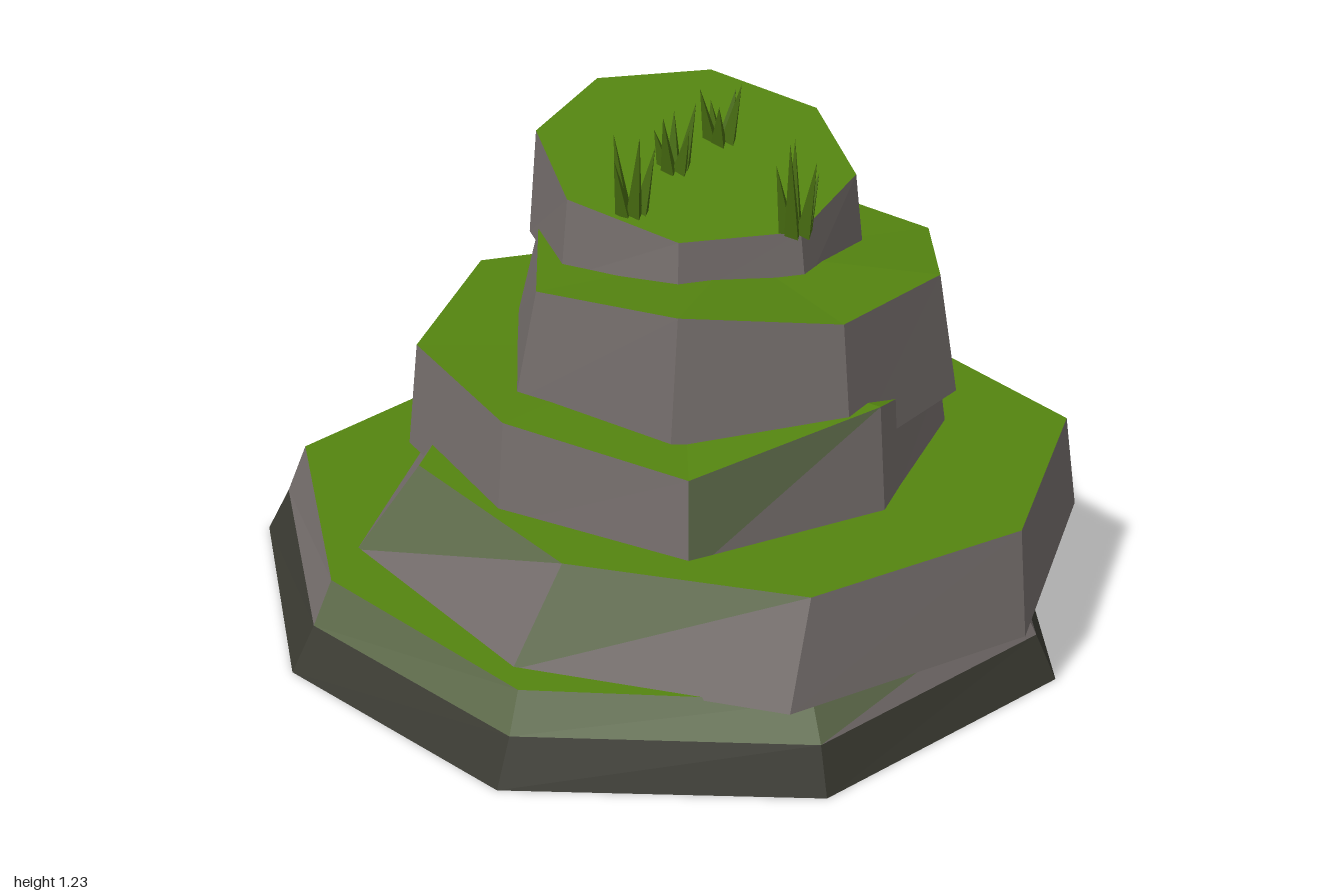
import * as THREE from 'three';

const mat = (name, color) => {
  const m = new THREE.MeshStandardMaterial({ color });
  m.name = name;
  return m;
};

export function createModel() {
  const group = new THREE.Group();
  group.name = 'rockMound';
  const mats = {
    rock: mat('grey rock', 0x746d6b),
    moss: mat('mossy rock', 0x5d6a4a),
    grass: mat('grass', 0x548410),
    earth: mat('dark earth', 0x3a3a32),
    black: mat('black earth', 0x060606),
    blade: mat('grass blade', 0x45690f),
  };

  // Collects triangles by material and turns each set into one named mesh
  function builder(name) {
    const sets = {};
    return {
      tri(key, a, b, c) {
        (sets[key] ??= []).push(...a, ...b, ...c);
      },
      finish() {
        const part = new THREE.Group();
        part.name = name;
        for (const [key, list] of Object.entries(sets)) {
          const g = new THREE.BufferGeometry();
          g.setAttribute('position', new THREE.Float32BufferAttribute(list, 3));
          g.computeVertexNormals();
          const mesh = new THREE.Mesh(g, mats[key]);
          mesh.name = name + key[0].toUpperCase() + key.slice(1);
          part.add(mesh);
        }
        group.add(part);
      },
    };
  }

  // Wall between two rings; the colour functions pick upper and lower triangles
  function wall(b, low, high, lowerKey, upperKey) {
    low.forEach((p, i) => {
      const j = (i + 1) % low.length;
      b.tri(lowerKey(i), p, high[i], low[j]);
      b.tri(upperKey(i), high[i], high[j], low[j]);
    });
  }

  function cap(b, ring, keyOf, up) {
    const c = [0, 1, 2].map((k) => ring.reduce((s, p) => s + p[k], 0) / ring.length);
    ring.forEach((p, i) => {
      const q = ring[(i + 1) % ring.length];
      if (up) b.tri(keyOf(i), c, q, p);
      else b.tri(keyOf(i), c, p, q);
    });
  }

  // Base: dark footing with a rock lip, outline runs back, right, front, left
  const foot = [[-0.12, -1], [0.63, -0.74], [0.93, 0], [0.68, 0.72],
    [-0.01, 0.99], [-0.66, 0.71], [-0.95, 0.07], [-0.83, -0.65]];
  const ground = foot.map(([x, z]) => [x, 0, z]);
  const middle = foot.map(([x, z]) => [x * 0.94, 0.11, z * 0.96]);
  const lip = foot.map(([x, z]) => [x * 0.89, 0.22 - z * 0.03, z * 0.91]);
  const base = builder('base');
  wall(base, ground, middle, (i) => (i === 1 ? 'black' : 'earth'), () => 'earth');
  wall(base, middle, lip, (i) => (i === 4 || i === 5 ? 'moss' : 'rock'),
    (i) => (i >= 3 && i <= 5 ? 'moss' : 'rock'));
  cap(base, lip, () => 'grass', true);
  cap(base, ground, (i) => ([1, 3, 4, 5].includes(i) ? 'black' : 'earth'), false);
  base.finish();

  // Ledge: eight corners at even angles clockwise from the back. The heights are
  // planes [y, slope in x, slope in z]; the top ring is scaled and shifted,
  // bumps raise single top corners, moss lists walls with an overgrown upper half
  function ledge(name, { centre: [cx, cz], turn, radii, bottom, top, scale,
    shift = [0, 0], bumps = {}, moss = [] }) {
    const height = ([y, sx, sz], x, z) => y + sx * x + sz * z;
    const low = radii.map((r, i) => {
      const a = THREE.MathUtils.degToRad(turn + i * 45);
      const x = cx + r * Math.sin(a), z = cz - r * Math.cos(a);
      return [x, height(bottom, x, z), z];
    });
    const high = low.map(([px, , pz], i) => {
      const x = cx + shift[0] + (px - cx) * scale;
      const z = cz + shift[1] + (pz - cz) * scale;
      return [x, height(top, x, z) + (bumps[i] ?? 0), z];
    });
    const b = builder(name);
    wall(b, low, high, () => 'rock', (i) => (moss.includes(i) ? 'moss' : 'rock'));
    cap(b, high, () => 'grass', true);
    cap(b, low, () => 'rock', false);
    b.finish();
  }

  ledge('lowerLedge', {
    centre: [0.1, 0.12], turn: -33, radii: [0.88, 0.85, 0.8, 0.86, 0.82, 0.82, 0.8, 0.87],
    bottom: [0.215, 0, -0.035], top: [0.44, 0.01, -0.02],
    scale: 0.89, shift: [0.05, 0.03], moss: [5, 6],
  });
  ledge('middleLedge', {
    centre: [0.04, 0], turn: -25, radii: [0.73, 0.68, 0.71, 0.63, 0.63, 0.67, 0.6, 0.65],
    bottom: [0.39, 0, 0], top: [0.64, 0, -0.02],
    scale: 0.96, bumps: { 3: -0.08, 4: 0.05, 5: -0.02 }, moss: [4],
  });
  ledge('upperLedge', {
    centre: [0.16, 0.03], turn: -7, radii: [0.49, 0.53, 0.58, 0.53, 0.53, 0.52, 0.57, 0.54],
    bottom: [0.625, 0, -0.1], top: [0.885, 0, 0],
    scale: 0.9, shift: [-0.01, 0.03], bumps: { 2: -0.04, 5: 0.025 },
  });
  ledge('summit', {
    centre: [0.12, -0.13], turn: -18, radii: Array(8).fill(0.395),
    bottom: [0.85, 0, 0], top: [1.035, 0, -0.23], scale: 0.95,
  });

  // Grass tufts: five leaning three-sided blades each
  const up = new THREE.Vector3(0, 1, 0);
  const bladeGeometry = new THREE.ConeGeometry(0.022, 1, 3).translate(0, 0.5, 0).toNonIndexed();
  bladeGeometry.computeVertexNormals();
  const tufts = [[0.05, 1.05, -0.08, 0.16], [0.2, 1.07, -0.17, 0.15],
    [-0.11, 1.02, 0.07, 0.2], [0.21, 1.0, 0.27, 0.23]];
  tufts.forEach(([x, y, z, height], t) => {
    const tuft = new THREE.Group();
    tuft.name = 'grassTuft';
    tuft.position.set(x, y, z);
    for (let i = 0; i < 5; i++) {
      const a = (i / 5) * Math.PI * 2 + t * 0.8;
      const h = height * (1 - 0.1 * ((i * 3) % 5));
      const blade = new THREE.Mesh(bladeGeometry, mats.blade);
      blade.name = 'grassBlade';
      blade.position.set(Math.cos(a) * 0.022, 0, Math.sin(a) * 0.022);
      const lean = new THREE.Vector3(Math.cos(a) * 0.03, h, Math.sin(a) * 0.03);
      blade.quaternion.setFromUnitVectors(up, lean.normalize());
      blade.scale.set(1, h, 1);
      tuft.add(blade);
    }
    group.add(tuft);
  });

  return group;
}
